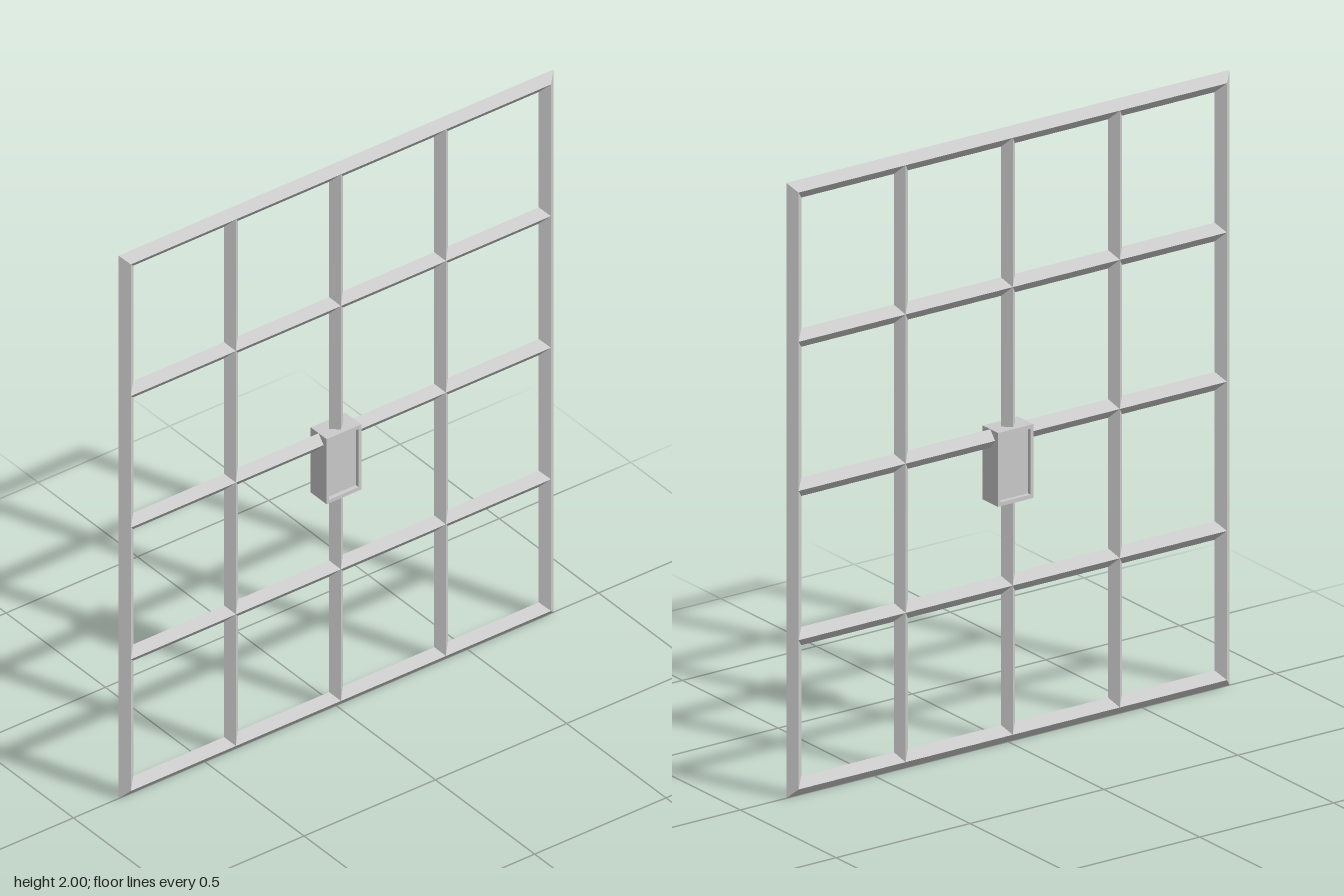
import * as THREE from 'three';

const HALF_W = 0.8, MID_Y = 1, HALF_H = 0.97; // ridge lines of the outer frame
const DEPTH = 0.025;                          // half thickness of every bar
const material = new THREE.MeshStandardMaterial({ color: 0xcccccc, flatShading: true });

function addMesh(parent, name, geometry, x = 0, y = 0, z = 0) {
  const mesh = new THREE.Mesh(geometry, material);
  mesh.name = name;
  mesh.position.set(x, y, z);
  parent.add(mesh);
  return mesh;
}

// Four-sided ring stretched into a mitred rectangle with a diamond section
function frameGeometry() {
  const k = 0.1;
  const geometry = new THREE.TorusGeometry(Math.SQRT2, Math.SQRT2 * k, 4, 4);
  geometry.rotateZ(Math.PI / 4);
  const p = geometry.attributes.position;
  const stretch = (v, half, bar) => Math.sign(v) * (half + ((Math.abs(v) - 1) / k) * bar);
  for (let i = 0; i < p.count; i++) {
    p.setXYZ(i,
      stretch(p.getX(i), HALF_W, 0.028),
      stretch(p.getY(i), HALF_H, 0.03),
      (p.getZ(i) / (Math.SQRT2 * k)) * DEPTH);
  }
  geometry.computeVertexNormals();
  return geometry;
}

// Straight diamond-section bar along y
function barGeometry(length, halfWidth) {
  return new THREE.CylinderGeometry(1, 1, length, 4, 1).scale(halfWidth, 1, DEPTH);
}

function rectangle(Type, w, h) {
  return new Type([[-w, -h], [w, -h], [w, h], [-w, h]].map(([x, y]) => new THREE.Vector2(x, y)));
}

export function createModel() {
  const model = new THREE.Group();
  model.name = 'barredWindowGrille';

  addMesh(model, 'outerFrame', frameGeometry(), 0, MID_Y);

  // Inner bars, evenly spaced between the frame ridges
  for (const i of [-1, 0, 1]) {
    addMesh(model, 'verticalBar', barGeometry(HALF_H * 2, 0.026), i * HALF_W / 2, MID_Y);
    addMesh(model, 'horizontalBar', barGeometry(HALF_W * 2, 0.03).rotateZ(Math.PI / 2),
      0, MID_Y + i * HALF_H / 2);
  }

  // Lock box: raised rim around a panel recessed on both faces
  const lock = new THREE.Group();
  lock.name = 'lockBox';
  lock.position.y = 0.91;
  const rim = rectangle(THREE.Shape, 0.066, 0.12);
  rim.holes.push(rectangle(THREE.Path, 0.056, 0.107));
  addMesh(lock, 'lockRim',
    new THREE.ExtrudeGeometry(rim, { depth: 0.08, bevelEnabled: false }), 0, 0, -0.04);
  addMesh(lock, 'lockPanel', new THREE.BoxGeometry(0.116, 0.218, 0.052));
  model.add(lock);

  return model;
}
